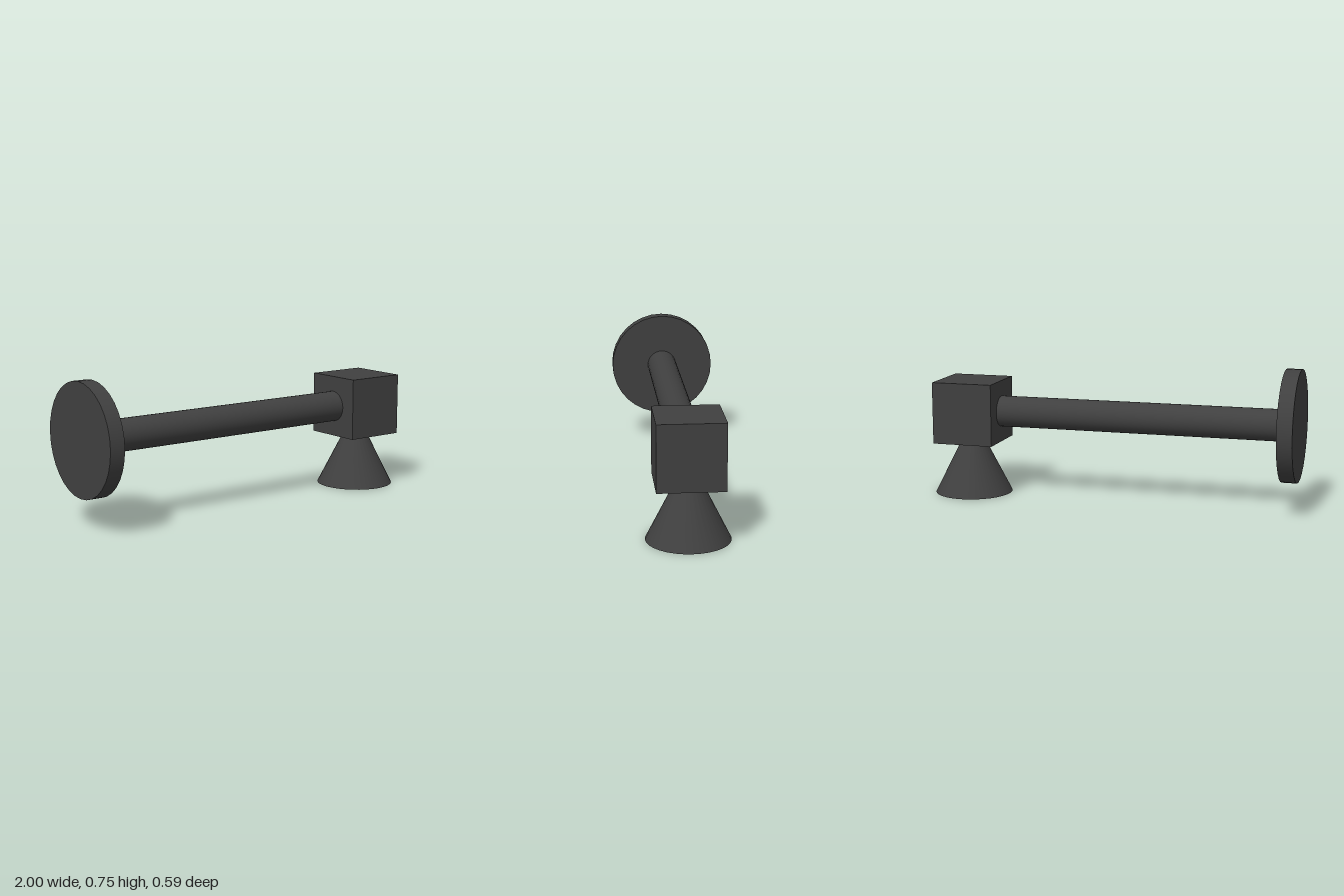
import * as THREE from 'three';

const U = 1 / 24;          // base unit of the design
const AXIS_Y = 0.455;      // height of the arm's axis
const HEAD_X = 0.79;       // centre of the head block

export function createModel() {
  const group = new THREE.Group();
  const material = new THREE.MeshStandardMaterial({ color: 0x404040 });

  const add = (name, geometry, x, y) => {
    const mesh = new THREE.Mesh(geometry, material);
    mesh.name = name;
    mesh.position.set(x, y, 0);
    group.add(mesh);
    return mesh;
  };

  // Cylinder lying along x between two ends
  const rod = (name, radius, x0, x1) => {
    const geometry = new THREE.CylinderGeometry(radius, radius, x1 - x0, 32);
    geometry.rotateZ(Math.PI / 2);
    return add(name, geometry, (x0 + x1) / 2, AXIS_Y);
  };

  // Round mounting plate and the arm reaching to the head
  rod('mountingPlate', 0.293, -1, -0.92);
  rod('arm', 2 * U, -0.94, HEAD_X - 3 * U);

  // Cubic head block
  add('headBlock', new THREE.BoxGeometry(8 * U, 8 * U, 8 * U), HEAD_X, AXIS_Y);

  // Closed cone hanging below, its tip buried in the block
  add('cone', new THREE.ConeGeometry(0.21, 10 * U, 32), HEAD_X, 5 * U);

  return group;
}
